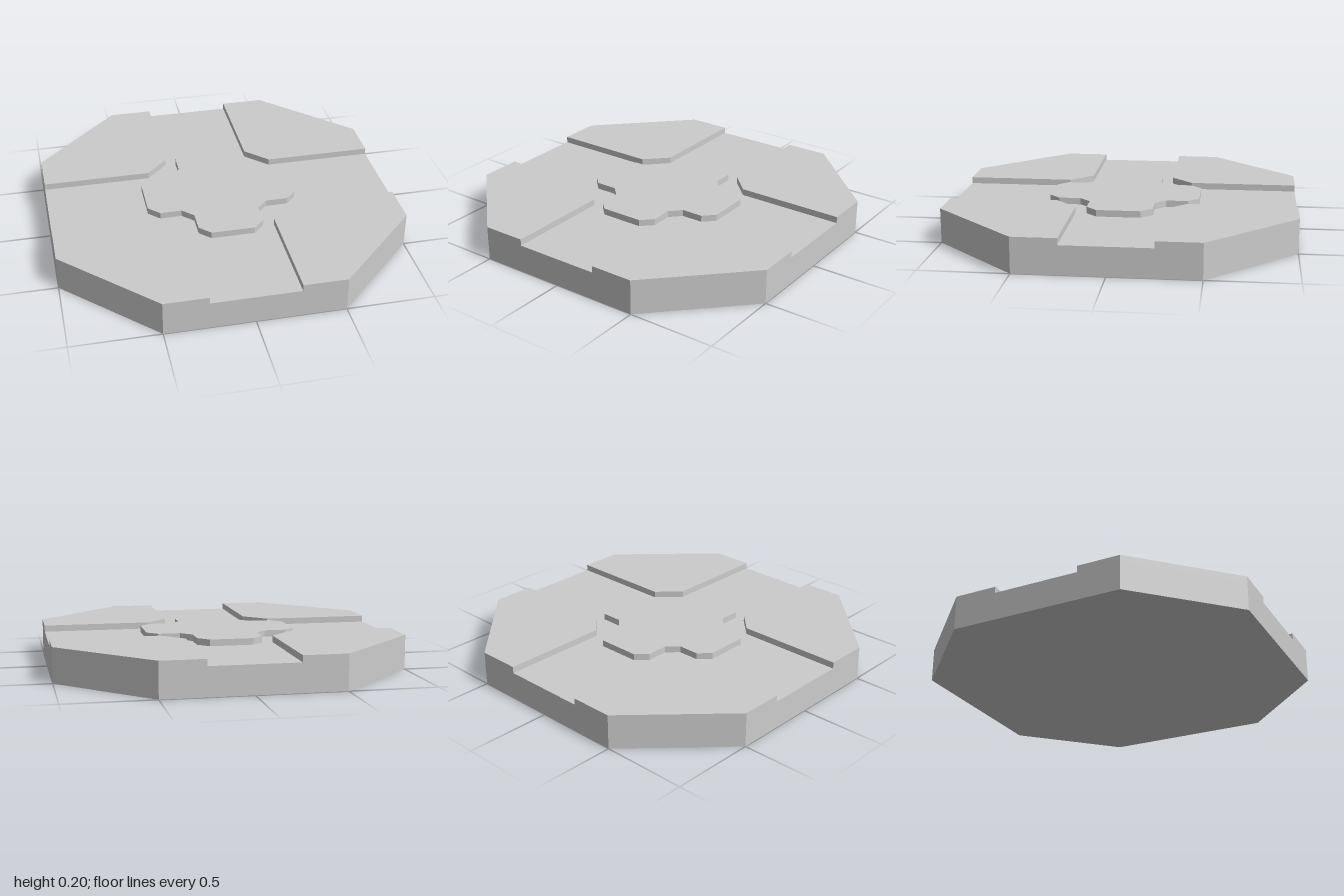
import * as THREE from 'three';

const FLOOR = 0.1625; // height of the sunken channels
const TOP = 0.2;      // height of the raised surfaces

const material = new THREE.MeshStandardMaterial({ color: 0xcccccc, flatShading: true });

// Extrude a plan outline upward from y0 to y1
function slab(name, points, y0, y1) {
  const shape = new THREE.Shape(points.map(([x, y]) => new THREE.Vector2(x, y)));
  const geometry = new THREE.ExtrudeGeometry(shape, { depth: y1 - y0, bevelEnabled: false });
  geometry.rotateX(-Math.PI / 2);
  geometry.translate(0, y0, 0);
  const mesh = new THREE.Mesh(geometry, material);
  mesh.name = name;
  return mesh;
}

// Repeat one quadrant of an outline four times around the centre
function fourfold(points) {
  const outline = [];
  let quadrant = points;
  for (let i = 0; i < 4; i++) {
    outline.push(...quadrant);
    quadrant = quadrant.map(([x, y]) => [-y, x]);
  }
  return outline;
}

export function createModel() {
  const model = new THREE.Group();
  model.name = 'octagonalCrossroadTile';

  // Octagonal base, its top forming the cross-shaped channels
  model.add(slab('base', fourfold([[1, 0.5], [0.5, 1]]), 0, FLOOR));

  // Raised corner plates with a chamfered inner corner
  const corner = [[0.375, 0.25], [1, 0.25], [1, 0.5], [0.5, 1], [0.25, 1], [0.25, 0.375]];
  for (let i = 0; i < 4; i++) {
    const plate = slab('cornerPlate' + (i + 1), corner, FLOOR, TOP);
    plate.rotation.y = i * Math.PI / 2;
    model.add(plate);
  }

  // Raised central cross with chamfered corners
  const cross = fourfold([
    [0.4375, 0.125], [0.375, 0.1875], [0.25, 0.1875],
    [0.1875, 0.25], [0.1875, 0.375], [0.125, 0.4375],
  ]);
  model.add(slab('centreCross', cross, FLOOR, TOP));

  return model;
}
